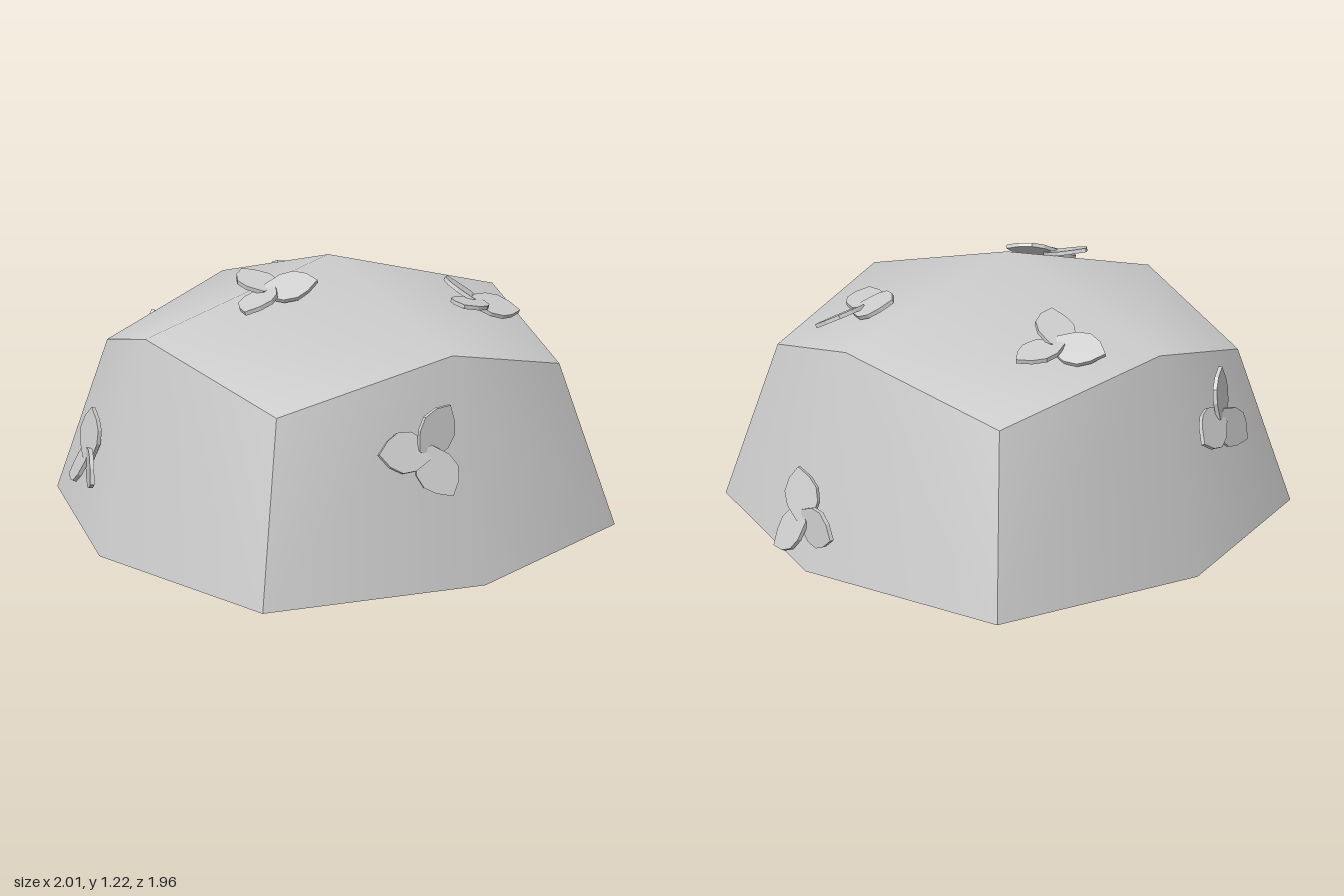
import * as THREE from 'three';

const CX = -0.02, CY = 0.235;           // cap centre
const RADII = [0, 0.98, 0.77, 0.61];    // face centre, edge middle, corner of the rounded cube
const material = new THREE.MeshStandardMaterial({ color: 0xcccccc });
const flat = new THREE.MeshStandardMaterial({ color: 0xcccccc, flatShading: true });

// Point of the rounded cube for a lattice direction; the lower half is squashed
function capPoint(d) {
  const r = RADII[Math.abs(d.x) + Math.abs(d.y) + Math.abs(d.z)];
  return [CX + d.x * r, CY + d.y * r * (d.y < 0 ? 0.07 : 1), d.z * r];
}

// One cube face (normal n, up v) as a small grid between rows j0 and j1
function capFace(n, v, j0, j1, underside) {
  const u = v.clone().cross(n), pos = [], normals = [], index = [];
  for (let j = j0; j <= j1; j++) for (let i = -1; i <= 1; i++) {
    const d = n.clone().addScaledVector(u, i).addScaledVector(v, j);
    pos.push(...capPoint(d));
    const nn = d.y < 0 ? new THREE.Vector3(0, -1, 0) : d.normalize();
    normals.push(nn.x, nn.y, nn.z);
  }
  for (let j = 0; j < j1 - j0; j++) for (let i = 0; i < 2; i++) {
    const a = j * 3 + i, b = a + 1, c = a + 4, e = a + 3;
    // split across the edge middles so every quad bulges outwards
    const centreIsA = (i === 1) === (j0 + j === 0);
    if (centreIsA) index.push(a, b, e, b, c, e);
    else index.push(a, b, c, a, c, e);
  }
  const g = new THREE.BufferGeometry();
  g.setAttribute('position', new THREE.Float32BufferAttribute(pos, 3));
  g.setIndex(index);
  // the lip rolls softly from the side into the underside
  if (underside) g.setAttribute('normal', new THREE.Float32BufferAttribute(normals, 3));
  else g.computeVertexNormals();
  return g;
}

function createCap() {
  const cap = new THREE.Group();
  cap.name = 'cap';
  const add = (name, geometry) => {
    const m = new THREE.Mesh(geometry, material);
    m.name = name;
    cap.add(m);
  };
  const up = new THREE.Vector3(0, 1, 0), back = new THREE.Vector3(0, 0, -1);
  add('capTop', capFace(up, back, -1, 1, false));
  add('capUnderside', capFace(up.clone().negate(), back, -1, 1, true));
  for (const [x, z] of [[0, 1], [1, 0], [0, -1], [-1, 0]]) {
    const n = new THREE.Vector3(x, 0, z);
    add('capSide', capFace(n, up, 0, 1, false));
    add('capLip', capFace(n, up, -1, 0, true));
  }
  return cap;
}

function createStem() {
  const profile = [[0, 0], [0.1, 0], [0.095, 0.02], [0.075, 0.05], [0.068, 0.1], [0.075, 0.15], [0.085, 0.2]]
    .map(([r, y]) => new THREE.Vector2(r, y));
  const stem = new THREE.Mesh(new THREE.LatheGeometry(profile, 8, Math.PI / 8), flat);
  stem.name = 'stem';
  stem.position.x = -0.01;
  return stem;
}

// Pointed petal lying along +x
const petalShape = new THREE.Shape([
  [-0.01, -0.035], [0.05, -0.07], [0.1, -0.07], [0.14, -0.045], [0.18, 0],
  [0.145, 0.045], [0.1, 0.07], [0.05, 0.065], [-0.01, 0.03],
].map(([x, y]) => new THREE.Vector2(x, y)));
const petalGeometry = new THREE.ExtrudeGeometry(petalShape, { depth: 0.015, bevelEnabled: false });

// Three overlapping petals facing along the normal
function createBlossom({ at, normal, spin }) {
  const blossom = new THREE.Group();
  blossom.name = 'blossom';
  const n = new THREE.Vector3(...normal).normalize();
  const ref = n.y > 0.7 ? new THREE.Vector3(0, 0, -1) : new THREE.Vector3(0, 1, 0);
  const right = ref.cross(n).normalize();
  const upward = n.clone().cross(right);
  blossom.quaternion.setFromRotationMatrix(new THREE.Matrix4().makeBasis(right, upward, n));
  blossom.position.set(...at).addScaledVector(n, 0.018);
  for (let i = 0; i < 3; i++) {
    const arm = new THREE.Group();
    arm.rotation.z = THREE.MathUtils.degToRad(spin + i * 120);
    const petal = new THREE.Mesh(petalGeometry, flat);
    petal.name = 'petal';
    petal.rotation.set(0.22, -0.06, 0);
    arm.add(petal);
    blossom.add(arm);
  }
  return blossom;
}

const BLOSSOMS = [
  { at: [-0.32, 1.11, 0.07], normal: [-0.27, 1, 0.2], spin: 90 },
  { at: [0.2, 1.01, -0.49], normal: [0.27, 1, -0.28], spin: 112 },
  { at: [0.44, 1.01, 0.28], normal: [0.28, 1, 0.27], spin: 101 },
  { at: [-0.17, 0.7, 0.81], normal: [-0.2, 0.26, 1], spin: 58 },
  { at: [0.925, 0.43, 0.01], normal: [1, 0.28, 0], spin: -8 },
  { at: [-0.3, 0.71, -0.79], normal: [-0.24, 0.26, -1], spin: 77 },
  { at: [-0.84, 0.49, -0.33], normal: [-1, 0.26, -0.25], spin: 101 },
];

export function createModel() {
  const model = new THREE.Group();
  model.name = 'mushroom';
  model.add(createCap(), createStem());
  for (const b of BLOSSOMS) model.add(createBlossom(b));
  return model;
}
